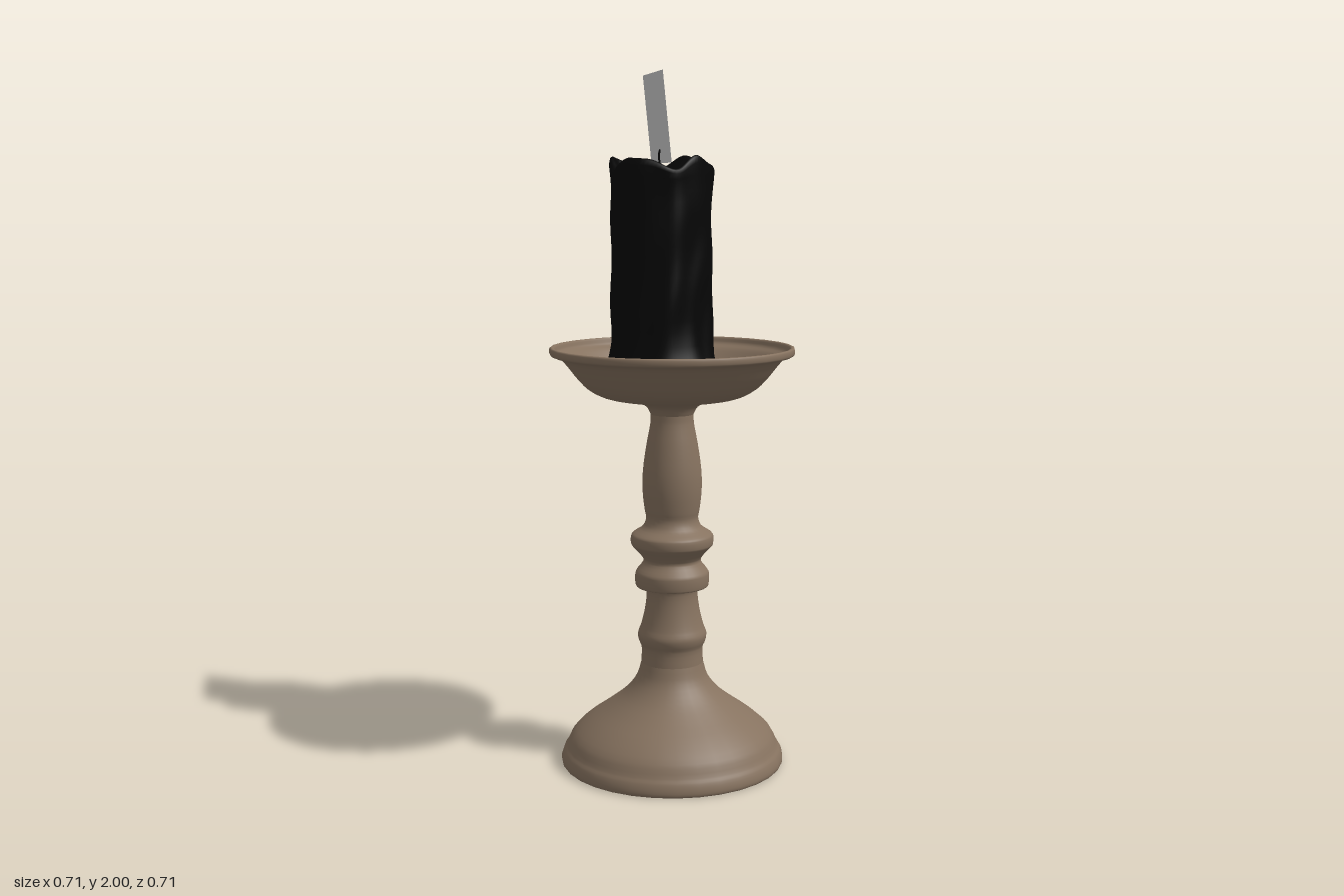
import * as THREE from 'three';

const brown = new THREE.MeshStandardMaterial({ color: 0x86725f, side: THREE.DoubleSide });
const black = new THREE.MeshStandardMaterial({ color: 0x060606, side: THREE.DoubleSide });
const grey = new THREE.MeshStandardMaterial({ color: 0xcccccc, side: THREE.DoubleSide });

function addMesh(group, name, geometry, material) {
  const mesh = new THREE.Mesh(geometry, material);
  mesh.name = name;
  group.add(mesh);
}

// Turned part: a smooth curve through [radius, height] pairs, spun round y
function turned(pairs) {
  const curve = new THREE.CatmullRomCurve3(
    pairs.map(([r, y]) => new THREE.Vector3(r, y, 0)), false, 'centripetal');
  const points = curve.getPoints((pairs.length - 1) * 3)
    .map(p => new THREE.Vector2(Math.max(p.x, 0), p.y));
  return new THREE.LatheGeometry(points, 32);
}

// Closed smooth outline from radii at equal angles
function outline(radii) {
  return new THREE.CatmullRomCurve3(radii.map((r, i) => {
    const a = i / radii.length * Math.PI * 2;
    return new THREE.Vector3(Math.cos(a) * r, 0, Math.sin(a) * r);
  }), true, 'catmullrom');
}

// Candle: rings blending from the spilled foot to the shaft, then into the melted pool
function candleGeometry() {
  const shaft = outline([.145, .148, .135, .137, .147, .142, .142, .137,
    .138, .142, .162, .142, .147, .147, .152, .148]);
  const foot = outline([.172, .191, .217, .212, .192, .188, .184, .188,
    .19, .188, .19, .19, .18, .195, .192, .192]);
  // [height, flare toward foot, scale, how far the ring follows the wavy rim]
  const rings = [[1.106, 1, 1, 0], [1.122, .92, 1, 0], [1.14, .7, 1, 0], [1.16, .47, 1, 0],
    [1.185, .27, 1, 0], [1.21, .13, 1, 0], [1.24, .04, 1, 0]];
  for (let y = 1.28; y < 1.7; y += .03) rings.push([y, 0, 1, 0]);
  rings.push([1.71, 0, 1.01, .3], [1.735, 0, 1.02, .8], [1.748, 0, .99, 1], [1.752, 0, .94, 1],
    [1.745, 0, .88, .8], [1.725, 0, .8, .4], [1.714, 0, .6, .1], [1.708, 0, .3, 0], [1.708, 0, 0, 0]);

  const n = 80, positions = [], index = [];
  rings.forEach(([y, flare, scale, wave], i) => {
    for (let j = 0; j <= n; j++) {
      const t = (j % n) / n, a = t * Math.PI * 2;
      const p = shaft.getPoint(t).lerp(foot.getPoint(t), flare);
      // Drip ridges that fade out at the foot
      const drip = 1 + (1 - flare) * (.016 * Math.sin(9 * a + 2 * Math.sin(y * 9))
        + .014 * Math.sin(y * 30 + 3 * a));
      const rim = -.016 * Math.cos(4 * a) + .006 * Math.sin(7 * a + 1);
      positions.push(p.x * scale * drip - .028, y + wave * rim, p.z * scale * drip - .025);
      if (i && j) {
        const d = i * (n + 1) + j, c = d - 1, b = d - n - 1, e = b - 1;
        index.push(e, c, b, b, c, d);
      }
    }
  });
  const geometry = new THREE.BufferGeometry();
  geometry.setAttribute('position', new THREE.Float32BufferAttribute(positions, 3));
  geometry.setIndex(index);
  geometry.computeVertexNormals();
  return geometry;
}

export function createModel() {
  const group = new THREE.Group();
  group.name = 'candlestick';

  // Hollow bell-shaped base with a small lip turned inward
  addMesh(group, 'base', turned([[.302, .012], [.308, .002], [.325, 0], [.328, .012], [.322, .035],
    [.312, .05], [.295, .085], [.25, .127], [.19, .17], [.14, .21], [.105, .255], [.091, .3]]), brown);

  // Stem with rings and vase
  addMesh(group, 'stem', turned([[.091, .3], [.09, .345], [.098, .365], [.101, .385], [.092, .41],
    [.08, .46], [.075, .51], [.08, .526], [.104, .528], [.107, .533], [.108, .565], [.104, .575],
    [.085, .6], [.085, .612], [.116, .648], [.12, .655], [.12, .678], [.114, .686], [.086, .705],
    [.076, .73], [.08, .755], [.086, .81], [.085, .87], [.074, .95], [.063, 1.01], [.062, 1.035]]), brown);

  // Drip dish, outside then inside
  addMesh(group, 'dish', turned([[.062, 1.035], [.075, 1.058], [.11, 1.073], [.16, 1.08],
    [.205, 1.09], [.245, 1.112], [.28, 1.148], [.305, 1.18], [.325, 1.2], [.348, 1.207],
    [.352, 1.212], [.352, 1.226], [.348, 1.23], [.34, 1.228], [.334, 1.212], [.312, 1.198],
    [.288, 1.172], [.26, 1.142], [.225, 1.119], [.17, 1.11], [.1, 1.106], [0, 1.104]]), brown);

  addMesh(group, 'candle', candleGeometry(), black);

  // Bent wick
  const wickPath = new THREE.CatmullRomCurve3([[-.03, 1.7, -.03], [-.028, 1.74, -.028],
    [-.033, 1.77, -.025], [-.03, 1.788, -.022]].map(p => new THREE.Vector3(...p)));
  addMesh(group, 'wick', new THREE.TubeGeometry(wickPath, 8, .003, 6), black);

  // Flat flame card, leaning slightly to one side
  const card = new THREE.PlaneGeometry(.25, .252);
  card.rotateY(Math.PI / 2);
  card.rotateZ(Math.atan2(.025, .25));
  card.translate(-.038, 1.875, -.025);
  addMesh(group, 'flame', card, grey);

  return group;
}
